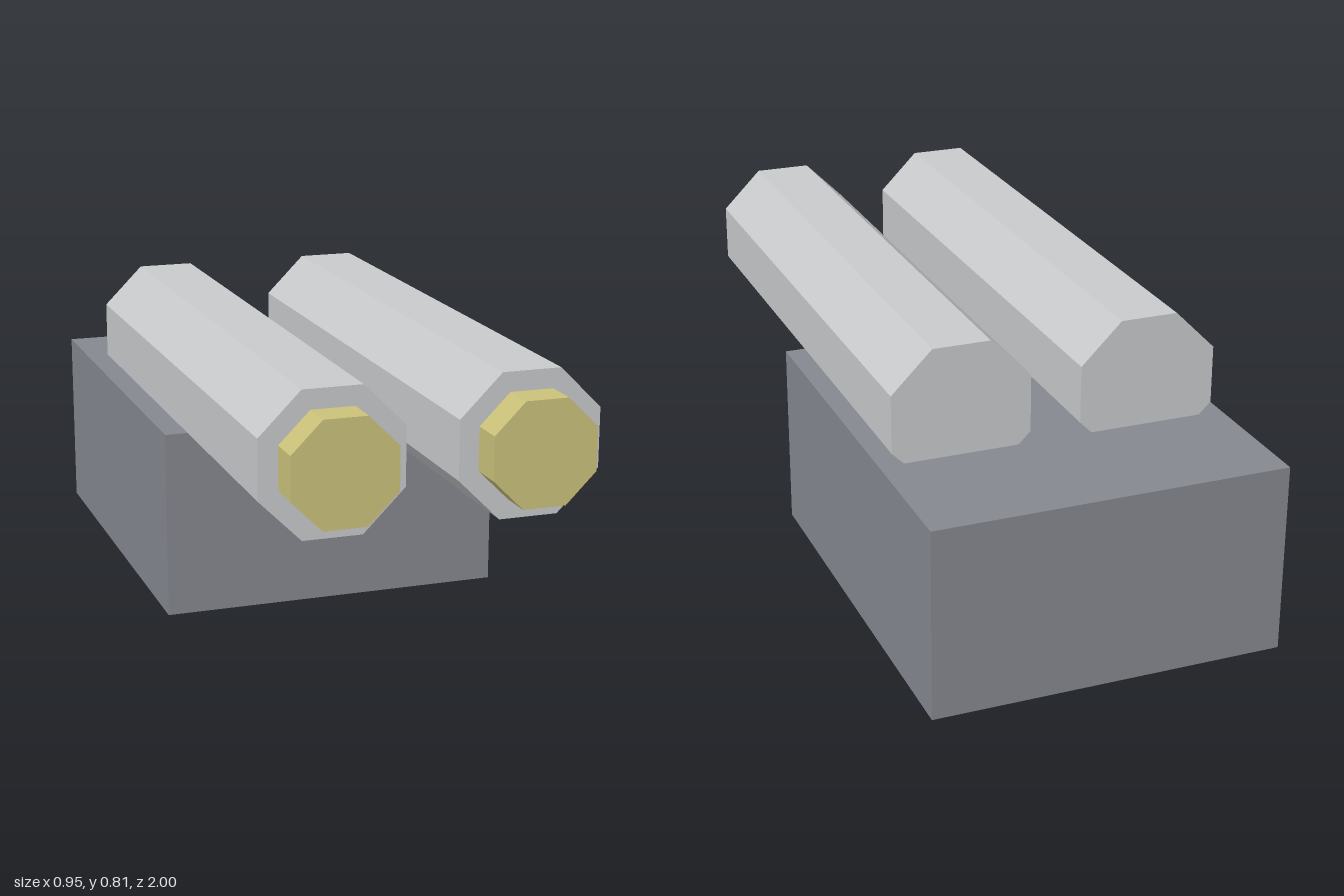
import * as THREE from 'three';

const mat = (name, color) => {
  const m = new THREE.MeshStandardMaterial({ color, flatShading: true });
  m.name = name;
  return m;
};

// Octagonal prism along z, flat side up, given half width across the flats
function octagon(name, halfWidth, zBack, zFront, material) {
  const r = halfWidth / Math.cos(Math.PI / 8);
  const geo = new THREE.CylinderGeometry(r, r, zFront - zBack, 8, 1, false, Math.PI / 8);
  geo.rotateX(Math.PI / 2);
  const mesh = new THREE.Mesh(geo, material);
  mesh.name = name;
  mesh.position.z = (zFront + zBack) / 2;
  return mesh;
}

export function createModel() {
  const model = new THREE.Group();
  model.name = 'twinBarrelMount';
  const darkGrey = mat('darkGrey', 0x84878f);
  const lightGrey = mat('lightGrey', 0xc7c9cb);
  const yellow = mat('yellow', 0xcac17a);

  // Base block
  const base = new THREE.Mesh(new THREE.BoxGeometry(0.952, 0.515, 1.173), darkGrey);
  base.name = 'base';
  base.position.set(0, 0.2575, -0.4135);
  model.add(base);

  // Two barrels resting in the block, each with a yellow tip
  for (const side of [-1, 1]) {
    const barrel = new THREE.Group();
    barrel.name = side > 0 ? 'leftBarrel' : 'rightBarrel';
    barrel.position.set(side * 0.256, 0.625, 0);
    barrel.add(octagon('tube', 0.187, -0.633, 0.907, lightGrey));
    barrel.add(octagon('tip', 0.136, 0.88, 1, yellow));
    model.add(barrel);
  }
  return model;
}
